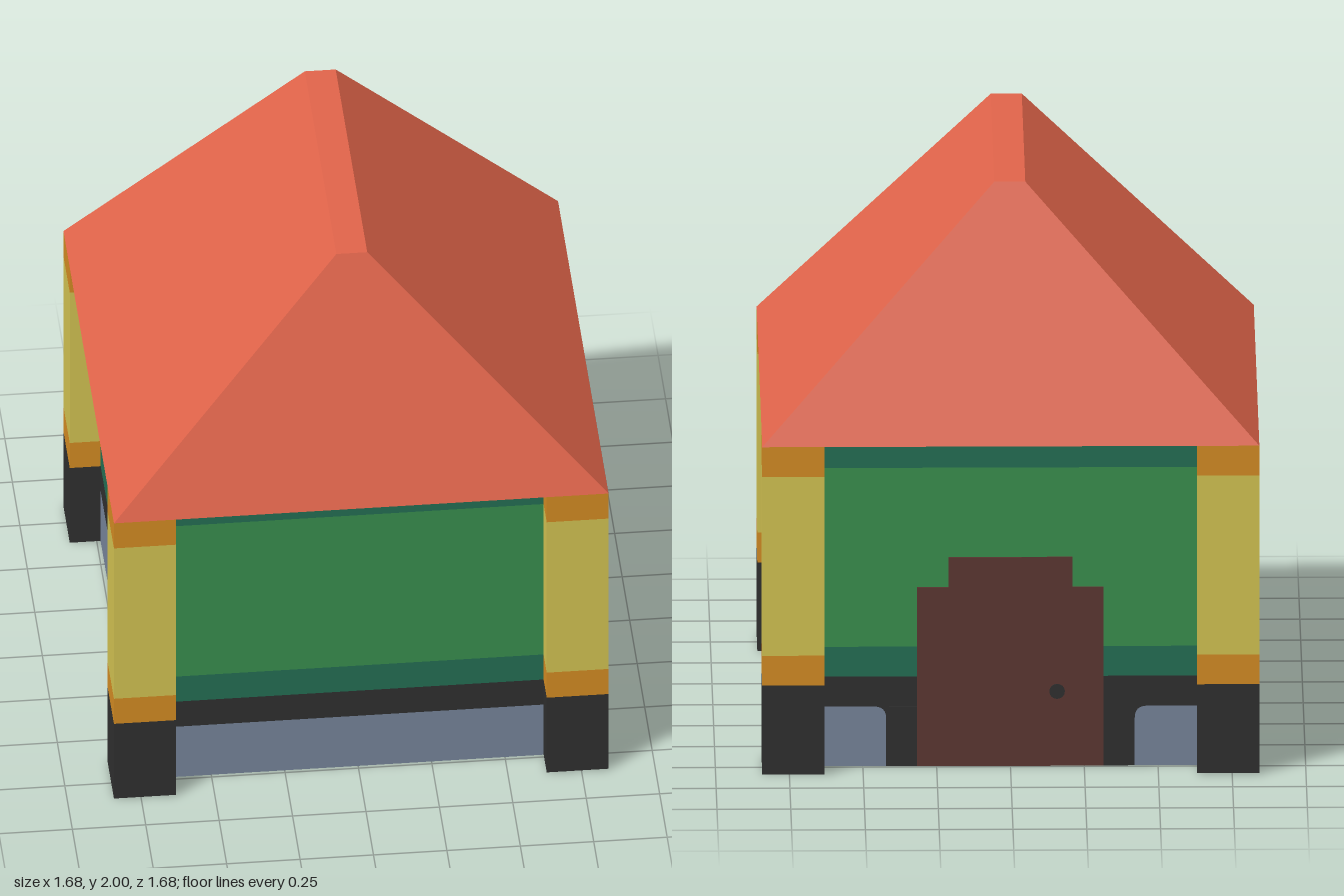
import * as THREE from 'three';

const U = 2 / 19; // design unit: the house is 19 units tall

function mat(name, color) {
  const m = new THREE.MeshStandardMaterial({ color });
  m.name = name;
  return m;
}

export function createModel() {
  const house = new THREE.Group();
  house.name = 'house';

  const M = {
    roof: mat('roof red', 0xe0644a),
    green: mat('wall green', 0x398f4e),
    teal: mat('trim teal', 0x246f54),
    yellow: mat('post yellow', 0xd3c352),
    orange: mat('post orange', 0xd48c23),
    black: mat('base black', 0x2f2f2f),
    slate: mat('foundation slate', 0x76849a),
    blue: mat('window frame blue', 0x4b73b8),
    cyan: mat('window glass cyan', 0x24cbd7),
    door: mat('door brown', 0x5c3731),
  };

  function add(parent, name, geometry, material) {
    const mesh = new THREE.Mesh(geometry, material);
    mesh.name = name;
    parent.add(mesh);
    return mesh;
  }

  // Square block between two heights, with an optional other colour underneath
  function block(parent, name, half, y0, y1, material, under = material) {
    const geo = new THREE.BoxGeometry(2 * half * U, (y1 - y0) * U, 2 * half * U);
    const mesh = add(parent, name, geo, [material, material, material, under, material, material]);
    mesh.position.y = (y0 + y1) / 2 * U;
  }

  // Thin plate on the local xy plane, facing +z
  function plate(parent, name, x0, x1, y0, y1, material, depth = 0.004) {
    const geo = new THREE.BoxGeometry((x1 - x0) * U, (y1 - y0) * U, depth);
    const mesh = add(parent, name, geo, material);
    mesh.position.set((x0 + x1) / 2 * U, (y0 + y1) / 2 * U, depth / 2);
  }

  // Walls in horizontal bands
  const walls = new THREE.Group();
  walls.name = 'walls';
  house.add(walls);
  block(walls, 'foundation', 7, 0, 2, M.slate, M.green);
  block(walls, 'baseBand', 7, 2, 3, M.black);
  block(walls, 'lowerTrim', 7, 3, 4, M.teal);
  block(walls, 'wall', 7, 4, 10, M.green);
  block(walls, 'upperTrim', 7, 10, 11, M.teal);

  // Corner posts; the feet stop a hair above the floor plane
  for (const sx of [-1, 1]) for (const sz of [-1, 1]) {
    const post = new THREE.Group();
    post.name = 'cornerPost';
    post.position.set(sx * 7 * U, 0, sz * 7 * U);
    house.add(post);
    block(post, 'postFoot', 1, 0.02, 3, M.black, M.yellow);
    block(post, 'postLowerCap', 1, 3, 4, M.orange);
    block(post, 'postShaft', 1, 4, 10, M.yellow);
    block(post, 'postUpperCap', 1, 10, 11, M.orange);
  }

  // Hipped roof: a box with its top drawn in
  const roofGeo = new THREE.BoxGeometry(16 * U, 8 * U, 16 * U);
  const p = roofGeo.attributes.position;
  for (let i = 0; i < p.count; i++) {
    if (p.getY(i) > 0) {
      p.setX(i, Math.sign(p.getX(i)) * 0.5 * U);
      p.setZ(i, Math.sign(p.getZ(i)) * 5 * U);
    }
  }
  roofGeo.computeVertexNormals();
  add(house, 'roof', roofGeo, M.roof).position.y = 15 * U;

  // A window on each side wall
  for (const s of [-1, 1]) {
    const win = new THREE.Group();
    win.name = 'window';
    win.position.x = s * 7 * U;
    win.rotation.y = s * Math.PI / 2;
    house.add(win);
    plate(win, 'windowGlass', -2, 2, 3, 5, M.cyan);
    plate(win, 'windowHead', -2, 2, 5, 6, M.blue);
    plate(win, 'windowSill', -2, 2, 2, 3, M.blue);
    plate(win, 'windowShutter', -3, -2, 3, 5, M.blue);
    plate(win, 'windowShutter', 2, 3, 3, 5, M.blue);
  }

  // Doorway on the back wall
  const back = new THREE.Group();
  back.name = 'doorway';
  back.position.z = -7 * U;
  back.rotation.y = Math.PI;
  house.add(back);

  // Black surround flaring into the base band with rounded corners
  const r = 0.4;
  const s = new THREE.Shape();
  s.moveTo(-4, 0).lineTo(4, 0).lineTo(4, 2 - r);
  s.quadraticCurveTo(4, 2, 4 + r, 2).lineTo(-4 - r, 2);
  s.quadraticCurveTo(-4, 2, -4, 2 - r);
  const surround = add(back, 'doorSurround',
    new THREE.ExtrudeGeometry(s, { depth: 0.002 / U, bevelEnabled: false, curveSegments: 6 }), M.black);
  surround.scale.setScalar(U);

  plate(back, 'doorPanel', -2, 2, 0, 7, M.door, 0.005);
  plate(back, 'doorSide', -3, -2, 0, 6, M.door, 0.005);
  plate(back, 'doorSide', 2, 3, 0, 6, M.door, 0.005);

  const knob = add(back, 'doorKnob', new THREE.CylinderGeometry(0.25 * U, 0.25 * U, 0.008, 16), M.black);
  knob.rotation.x = Math.PI / 2;
  knob.position.set(1.5 * U, 2.5 * U, 0.004);

  return house;
}
